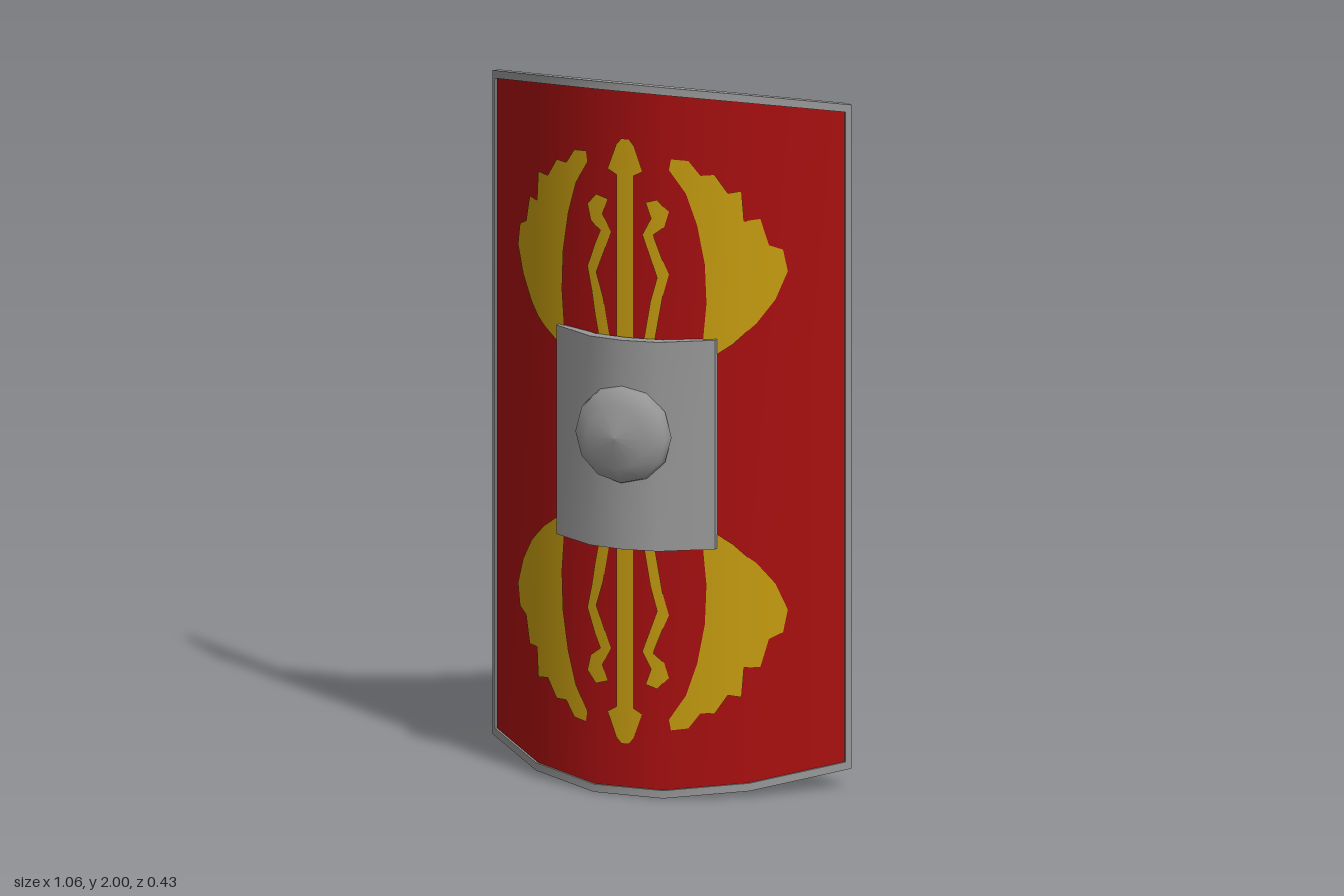
import * as THREE from 'three';
import { mergeGeometries } from 'three/addons/utils/BufferGeometryUtils.js';

// Columns of the bent board: x, z, bottom y, top y
const COLS = [
  [-0.525, -0.208, 0.055, 1.922], [-0.31, 0, 0.018, 1.975], [-0.1, 0.1, 0, 2],
  [0.1, 0.1, 0, 2], [0.31, 0, 0.018, 1.975], [0.525, -0.208, 0.055, 1.922],
];

// Outward normals at the columns, averaged from neighbouring panels
const NORMALS = COLS.map((c, i) => {
  const n = new THREE.Vector2();
  for (const [a, b] of [[i - 1, i], [i, i + 1]]) {
    if (!COLS[a] || !COLS[b]) continue;
    n.add(new THREE.Vector2(COLS[a][1] - COLS[b][1], COLS[b][0] - COLS[a][0]).normalize());
  }
  return n.normalize();
});

// Position, normal and height limits of the board at a given x
function boardAt(x) {
  let i = 0;
  while (i < COLS.length - 2 && x > COLS[i + 1][0]) i++;
  const t = (x - COLS[i][0]) / (COLS[i + 1][0] - COLS[i][0]);
  const [, z, y0, y1] = COLS[i].map((v, k) => THREE.MathUtils.lerp(v, COLS[i + 1][k], t));
  const n = NORMALS[i].clone().lerp(NORMALS[i + 1], t).normalize();
  return { x, z, y0, y1, n };
}

// Solid through four-cornered sections: smooth along its length, sharp across
function loft(sections) {
  const pos = [], idx = [];
  const last = sections.length - 1;
  for (let j = 0; j < 4; j++) {
    const base = pos.length / 3;
    sections.forEach((s) => pos.push(...s[j], ...s[(j + 1) % 4]));
    for (let i = 0; i < last; i++) {
      const a = base + i * 2, b = a + 1, d = a + 2, c = a + 3;
      idx.push(a, d, c, a, c, b);
    }
  }
  for (const [s, order] of [[sections[0], [0, 1, 2, 0, 2, 3]], [sections[last], [0, 2, 1, 0, 3, 2]]]) {
    const base = pos.length / 3;
    s.forEach((p) => pos.push(...p));
    idx.push(...order.map((k) => base + k));
  }
  const g = new THREE.BufferGeometry();
  g.setAttribute('position', new THREE.Float32BufferAttribute(pos, 3));
  g.setIndex(idx);
  g.computeVertexNormals();
  return g;
}

// Piece following the board between offsets back and front
function boardPiece(xs, back, front, bottom, top) {
  return loft(xs.map((x) => {
    const b = boardAt(x);
    const corner = (off, y) => [x + b.n.x * off, y, b.z + b.n.y * off];
    const lo = bottom(b), hi = top(b);
    return [corner(back, lo), corner(front, lo), corner(front, hi), corner(back, hi)];
  }));
}

// Keep the part of a polygon on one side of a vertical line
function clip(poly, limit, sign) {
  const out = [];
  poly.forEach((p, i) => {
    const q = poly[(i + 1) % poly.length];
    const dp = (p[0] - limit) * sign, dq = (q[0] - limit) * sign;
    if (dp >= 0) out.push(p);
    if (dp * dq < 0) {
      const t = dp / (dp - dq);
      out.push([limit, p[1] + (q[1] - p[1]) * t]);
    }
  });
  return out;
}

// Thin painted shape wrapped over the folds of the board
function painted(poly) {
  const parts = [];
  for (let i = 0; i < COLS.length - 1; i++) {
    const piece = clip(clip(poly, COLS[i][0], 1), COLS[i + 1][0], -1);
    if (piece.length < 3) continue;
    const g = new THREE.ShapeGeometry(new THREE.Shape(piece.map((p) => new THREE.Vector2(...p))));
    const { position, normal } = g.attributes;
    for (let k = 0; k < position.count; k++) {
      const b = boardAt(position.getX(k));
      position.setZ(k, b.z + 0.008 / Math.max(b.n.y, 0.7));
      normal.setXYZ(k, b.n.x, 0, b.n.y);
    }
    parts.push(g);
  }
  return mergeGeometries(parts);
}

// Upper right emblem outlines, relative to the emblem axis
const WING = [
  [0.127, 1.797], [0.17, 1.792], [0.2, 1.75], [0.235, 1.752], [0.268, 1.70], [0.302, 1.706],
  [0.308, 1.622], [0.344, 1.624], [0.362, 1.548], [0.392, 1.532], [0.402, 1.47], [0.376, 1.394],
  [0.335, 1.33], [0.28, 1.275], [0.217, 1.23], [0.206, 1.28], [0.215, 1.39], [0.211, 1.5],
  [0.192, 1.61], [0.164, 1.70], [0.122, 1.767],
];
const BOLT = [
  [0.056, 1.672], [0.09, 1.682], [0.122, 1.65], [0.11, 1.606], [0.078, 1.582], [0.122, 1.474],
  [0.106, 1.41], [0.08, 1.27], [0.048, 1.27], [0.07, 1.394], [0.09, 1.463], [0.046, 1.58],
  [0.072, 1.628],
];
const ARROW = [
  [0.006, 1.845], [0.02, 1.828], [0.046, 1.757], [0.019, 1.742], [0.019, 1.27],
  [-0.03, 1.27], [-0.03, 1.742], [-0.057, 1.757], [-0.031, 1.828], [-0.016, 1.845],
];

export function createModel() {
  const model = new THREE.Group();
  const mat = (name, color) => Object.assign(new THREE.MeshStandardMaterial({ color }), { name });
  const red = mat('red paint', 0xa80f10);
  const gold = mat('gold paint', 0xc69c10);
  const steel = mat('grey metal', 0x989898);
  const add = (name, geometry, material) => {
    const m = new THREE.Mesh(geometry, material);
    m.name = name;
    model.add(m);
    return m;
  };
  const xs = COLS.map((c) => c[0]);

  // Board and metal rim
  const innerXs = [-0.518, ...xs.slice(1, -1), 0.518];
  add('board', boardPiece(innerXs, -0.006, 0.004, (b) => b.y0 + 0.008, (b) => b.y1 - 0.008), red);
  add('topRim', boardPiece(xs, -0.011, 0.01, (b) => b.y1 - 0.022, (b) => b.y1), steel);
  add('bottomRim', boardPiece(xs, -0.011, 0.01, (b) => b.y0, (b) => b.y0 + 0.022), steel);
  for (const [name, a, b] of [['rightRim', -0.525, -0.512], ['leftRim', 0.512, 0.525]]) {
    add(name, boardPiece([a, b], -0.011, 0.01, (p) => p.y0, (p) => p.y1), steel);
  }

  // Vertical battens on the back
  for (const [name, x] of [['rightBatten', -0.165], ['leftBatten', 0.165]]) {
    add(name, boardPiece([x - 0.013, x + 0.013], -0.014, -0.005,
      (p) => p.y0 + 0.01, (p) => p.y1 - 0.01), steel);
  }

  // Painted emblem, mirrored into four quarters
  const place = (poly, sx, sy) => poly.map(([x, y]) => [x * sx - 0.006, sy > 0 ? y : 1.988 - y]);
  for (const sy of [1, -1]) {
    const level = sy > 0 ? 'upper' : 'lower';
    add(level + 'Arrow', painted(place(ARROW, 1, sy)), gold);
    for (const sx of [1, -1]) {
      const side = sx > 0 ? 'Left' : 'Right';
      add(level + side + 'Wing', painted(place(WING, sx, sy)), gold);
      add(level + side + 'Bolt', painted(place(BOLT, sx, sy)), gold);
    }
  }

  // Curved centre plate
  const plate = [[-0.235, 0.026, 0.058], [-0.1, 0.108, 0.142], [0, 0.12, 0.156], [0.1, 0.108, 0.142], [0.235, 0.026, 0.058]];
  add('centrePlate', loft(plate.map(([x, b, f]) => [[x, 0.702, b], [x, 0.702, f], [x, 1.29, f], [x, 1.29, b]])), steel);

  // Domed boss
  const lathe = (pts, n) => new THREE.LatheGeometry(pts.map((p) => new THREE.Vector2(...p)), n).rotateX(Math.PI / 2);
  const boss = add('boss', lathe([[0.125, 0.115], [0.14, 0.14], [0.134, 0.166], [0.09, 0.196], [0, 0.213]], 12), steel);
  boss.position.y = 1.025;

  // Hand grip: ring with a crossbar on the back
  const corners = [[0.138, 0.096], [0.16, 0.096], [0.16, 0.056], [0.15, 0.044], [0.138, 0.044]];
  const ringParts = corners.map((p, i) => lathe([corners[(i + 1) % corners.length], p], 16));
  const ring = add('gripRing', mergeGeometries(ringParts), steel);
  ring.position.y = 1.025;
  const bar = add('gripBar', new THREE.BoxGeometry(0.29, 0.055, 0.016), steel);
  bar.position.set(0, 1.025, 0.056);

  return model;
}
